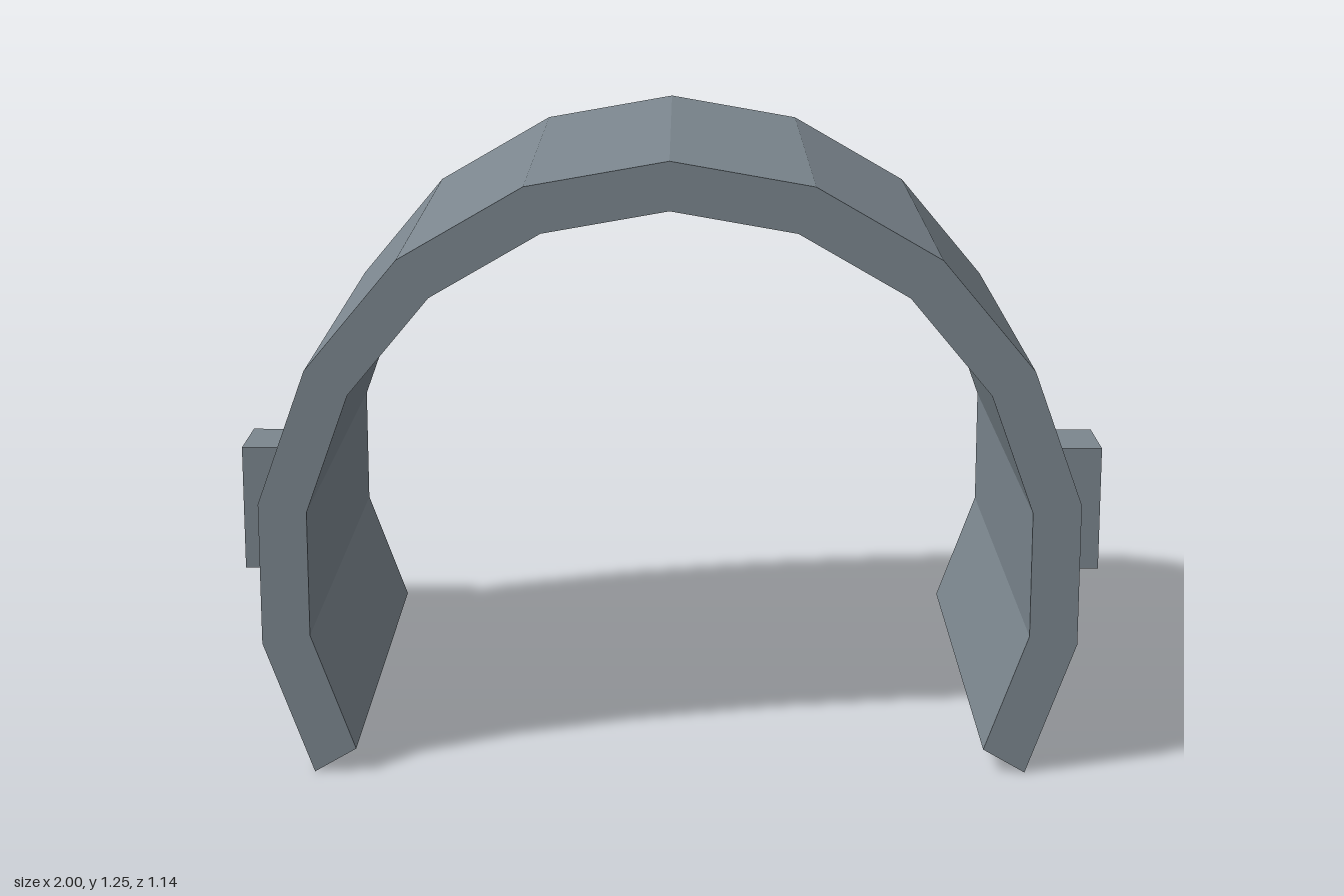
import * as THREE from 'three';

export function createModel() {
  const group = new THREE.Group();
  const metal = new THREE.MeshStandardMaterial({ color: 0x7b868e, flatShading: true });
  metal.name = 'greyMetal';

  // Faceted open band: 240 degrees of an 18-sided ring
  const centreY = 0.42;
  const arc = (radius) => Array.from({ length: 13 }, (_, i) => {
    const a = THREE.MathUtils.degToRad(-120 + i * 20);
    return new THREE.Vector2(Math.sin(a) * radius, centreY + Math.cos(a) * radius);
  });
  const outline = new THREE.Shape([...arc(0.833), ...arc(0.735).reverse()]);
  const bandGeometry = new THREE.ExtrudeGeometry(outline, { depth: 1.105, bevelEnabled: false });
  bandGeometry.translate(0, 0, -0.535);
  const band = new THREE.Mesh(bandGeometry, metal);
  band.name = 'archedBand';
  group.add(band);

  // Mounting blocks at the rear of each side
  for (const [name, side] of [['leftBlock', 1], ['rightBlock', -1]]) {
    const block = new THREE.Mesh(new THREE.BoxGeometry(0.19, 0.29, 0.19), metal);
    block.name = name;
    block.position.set(side * 0.905, 0.306, -0.475);
    group.add(block);
  }
  return group;
}
